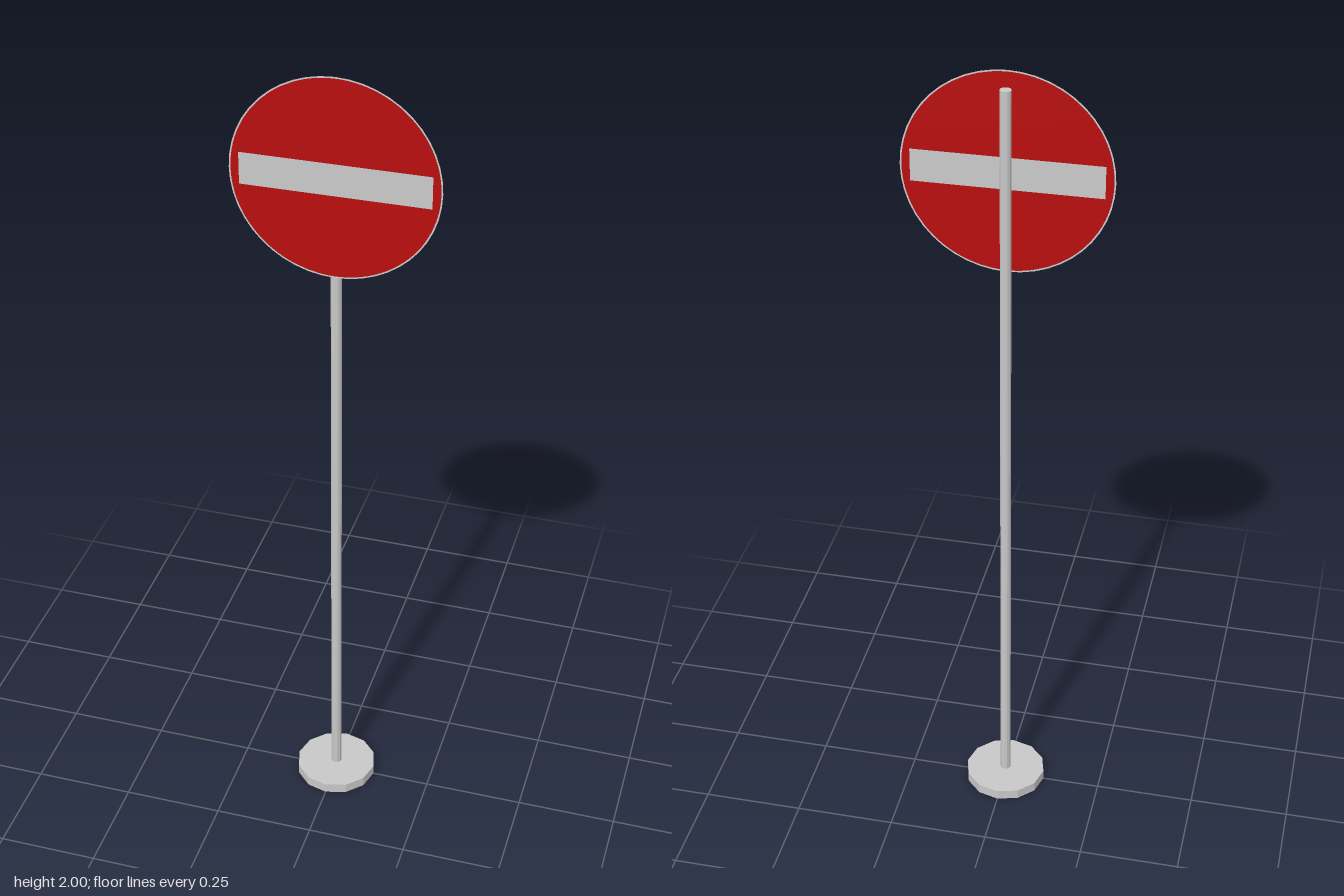
import * as THREE from 'three';

export function createModel() {
  const group = new THREE.Group();
  const material = (name, color, extra = {}) => {
    const m = new THREE.MeshStandardMaterial({ color, ...extra });
    m.name = name;
    return m;
  };
  const metal = material('grey metal', 0xc8c8c8, { flatShading: true });
  const red = material('sign red', 0xb90d0d, { side: THREE.DoubleSide });
  const white = material('sign white', 0xcacaca, { side: THREE.DoubleSide });

  const add = (name, geometry, mat, y, z = 0) => {
    const mesh = new THREE.Mesh(geometry, mat);
    mesh.name = name;
    mesh.position.set(0, y, z);
    group.add(mesh);
  };

  // Twelve-sided foot and slim pole
  add('base', new THREE.CylinderGeometry(0.103, 0.103, 0.026, 12), metal, 0.013);
  add('pole', new THREE.CylinderGeometry(0.0135, 0.0135, 1.94, 12), metal, 0.99);

  // Thin two-sided sign: red face with a slot, white bar in the slot, white rim
  const signY = 1.755, signZ = 0.014, radius = 0.245, rim = 0.004;
  const barW = 0.222, barH = 0.039;

  const face = new THREE.Shape().absarc(0, 0, radius - rim, 0, Math.PI * 2, false);
  face.holes.push(new THREE.Path([
    new THREE.Vector2(-barW, -barH), new THREE.Vector2(-barW, barH),
    new THREE.Vector2(barW, barH), new THREE.Vector2(barW, -barH),
  ]));
  add('signFace', new THREE.ShapeGeometry(face, 48), red, signY, signZ);
  add('signBar', new THREE.PlaneGeometry(barW * 2, barH * 2), white, signY, signZ);
  add('signRim', new THREE.RingGeometry(radius - rim, radius, 48), white, signY, signZ);

  return group;
}
